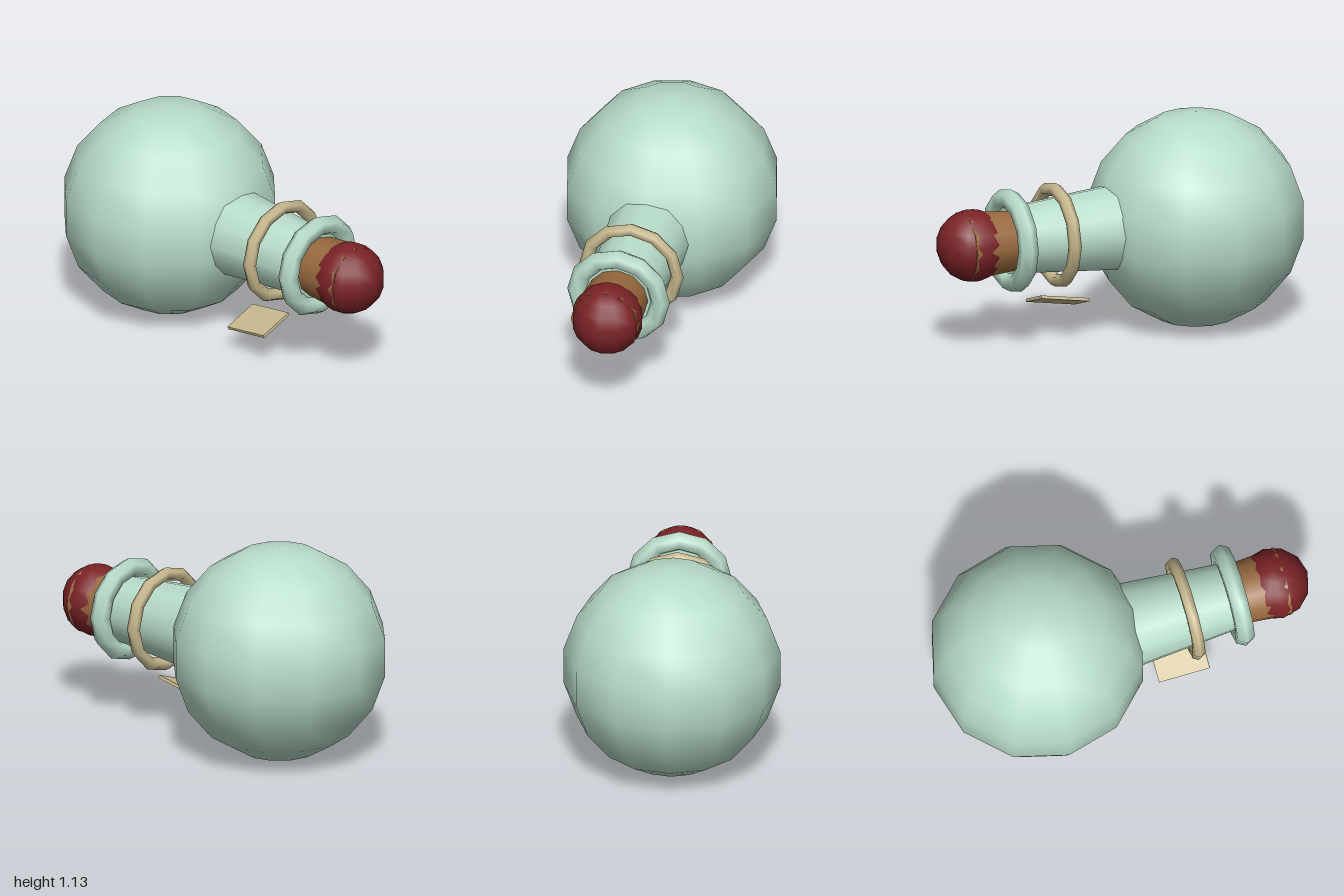
import * as THREE from 'three';

export function createModel() {
  const group = new THREE.Group();
  const axisY = 0.566;
  const mat = (name, color) => {
    const m = new THREE.MeshStandardMaterial({ color });
    m.name = name;
    return m;
  };
  const glass = mat('pale green glass', 0xb8dcc9);
  const cork = mat('cork brown', 0x996a3f);
  const wax = mat('dark red wax', 0x7a2226);
  const twine = mat('tan twine', 0xc8b98e);

  const add = (name, geometry, material, x, y = axisY, z = 0) => {
    const mesh = new THREE.Mesh(geometry, material);
    mesh.name = name;
    mesh.position.set(x, y, z);
    group.add(mesh);
    return mesh;
  };
  // Tapered round section lying along x, from x0 to x1
  const taper = (name, x0, r0, x1, r1, material) =>
    add(name, new THREE.CylinderGeometry(r1, r0, x1 - x0, 12).rotateZ(-Math.PI / 2), material, (x0 + x1) / 2);
  // Ring around the x axis
  const ring = (name, x, radius, tube, material) =>
    add(name, new THREE.TorusGeometry(radius, tube, 6, 12).rotateY(Math.PI / 2), material, x);

  // Flask lying on its side
  add('bulb', new THREE.SphereGeometry(0.563, 12, 9), glass, -0.446);
  taper('neck', -0.05, 0.23, 0.61, 0.174, glass);
  ring('lip', 0.597, 0.22, 0.052, glass);

  // Stopper sealed with wax
  taper('corkStopper', 0.55, 0.154, 0.865, 0.181, cork);
  add('waxSeal', new THREE.SphereGeometry(0.186, 12, 9), wax, 0.815);

  // Twine loop and its hanging tag
  ring('twineLoop', 0.345, 0.242, 0.034, twine);
  const tag = add('tag', new THREE.BoxGeometry(0.27, 0.016, 0.198), twine, 0.28, 0.184, 0.107);
  tag.rotation.set(0.34, 0, 0.165);

  return group;
}
